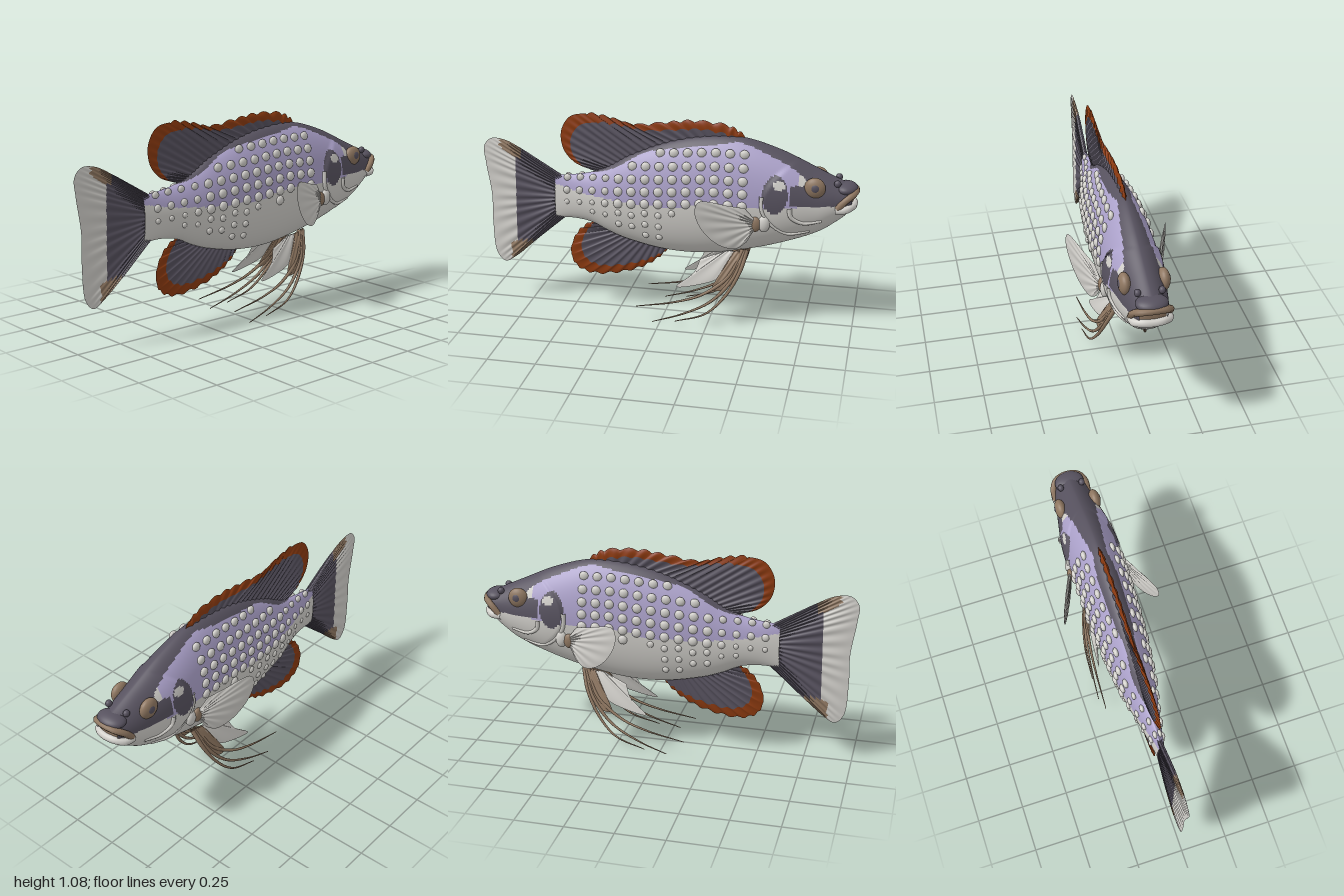
import * as THREE from 'three';
import { mergeGeometries } from 'three/addons/utils/BufferGeometryUtils.js';

const mat = (name, color) => new THREE.MeshStandardMaterial({ name, color, side: THREE.DoubleSide });
const V = (x, y, z = 0) => new THREE.Vector3(x, y, z);
const curve = (pts) => new THREE.CatmullRomCurve3(pts.map((p) => V(...p)), false, 'centripetal');
const DARK = 0, LILAC = 1, WHITE = 2, RUST = 3, BROWN = 4;

// smooth interpolation through rows of [x, value, ...]
function interp(rows, x, k) {
  let i = 0;
  while (i < rows.length - 2 && x > rows[i + 1][0]) i++;
  const slope = (n) => {
    const a = rows[Math.max(0, n - 1)], b = rows[Math.min(rows.length - 1, n + 1)];
    return (b[k] - a[k]) / (b[0] - a[0]);
  };
  const a = rows[i], b = rows[i + 1], h = b[0] - a[0];
  const t = THREE.MathUtils.clamp((x - a[0]) / h, 0, 1), t2 = t * t, t3 = t2 * t;
  return (2 * t3 - 3 * t2 + 1) * a[k] + (t3 - 2 * t2 + t) * h * slope(i) +
    (3 * t2 - 2 * t3) * b[k] + (t3 - t2) * h * slope(i + 1);
}

// body stations: x, top, bottom, half width
const BODY = [
  [-0.6, 0.735, 0.495, 0.02], [-0.5, 0.745, 0.5, 0.04], [-0.4, 0.765, 0.485, 0.06],
  [-0.3, 0.81, 0.44, 0.08], [-0.2, 0.87, 0.405, 0.096], [0, 0.955, 0.365, 0.118],
  [0.2, 1.0, 0.362, 0.13], [0.4, 1.005, 0.395, 0.135], [0.6, 0.95, 0.45, 0.132],
  [0.8, 0.86, 0.53, 0.112], [0.9, 0.815, 0.6, 0.09], [0.95, 0.795, 0.645, 0.074], [0.965, 0.785, 0.66, 0.066],
];
const BACK = [[-0.6, 0.76], [-0.4, 0.765], [-0.28, 0.8], [-0.1, 0.9], [0.1, 0.945], [0.3, 0.975],
  [0.4, 0.985], [0.6, 0.91], [0.7, 0.855], [0.75, 0.8], [0.78, 0.71], [0.88, 0.71], [0.97, 0.745]];
const BELLY = [[-0.6, 0.69], [-0.4, 0.655], [0, 0.64], [0.3, 0.675], [0.5, 0.68], [0.7, 0.69]];

function section(x) {
  const [top, bottom, w] = [1, 2, 3].map((k) => interp(BODY, x, k));
  return { top, bottom, w, mid: bottom + (top - bottom) * 0.48 };
}
// raised gill cover with a curved rear edge
function gill(x, y) {
  const edge = 0.51 + 0.16 * ((y - 0.71) / 0.2) ** 2;
  return 1 + 0.1 * THREE.MathUtils.smoothstep(x, edge, edge + 0.02) * (1 - THREE.MathUtils.smoothstep(x, 0.6, 0.82));
}
function halfWidth(x, y) {
  const s = section(x);
  const f = y > s.mid ? (y - s.mid) / (s.top - s.mid) : (s.mid - y) / (s.mid - s.bottom);
  return s.w * Math.max(0, 1 - f * f) ** (y > s.mid ? 0.6 : 0.5) * gill(x, y);
}
const inside = (x, y, cx, cy, rx, ry) => ((x - cx) / rx) ** 2 + ((y - cy) / ry) ** 2 < 1;
function skin(x, y) {
  if (y > interp(BACK, x, 1)) return DARK;
  if (inside(x, y, 0.605, 0.8, 0.032, 0.022)) return WHITE;
  if (inside(x, y, 0.585, 0.75, 0.065, 0.095)) return DARK;
  if (x > 0.66 && y > 0.7 && y < 0.8) return DARK;
  return x < 0.7 && y > interp(BELLY, x, 1) ? LILAC : WHITE;
}

export function createModel() {
  const model = new THREE.Group();
  model.name = 'fish';
  const mats = [mat('slate', 0x57525f), mat('lilac', 0xaca2cb), mat('pearl white', 0xd2d0cb),
    mat('rust', 0x8c3a10), mat('tan', 0x8f7761)];
  const add = (name, geo, m, parent = model) => {
    const mesh = new THREE.Mesh(geo, m);
    mesh.name = name;
    parent.add(mesh);
    return mesh;
  };

  // grid surface with a colour chosen for every cell
  function grid(name, nu, nv, wrap, point, colour, parent) {
    const pos = [], cells = mats.map(() => []), cols = wrap ? nv : nv + 1;
    for (let i = 0; i <= nu; i++) for (let j = 0; j < cols; j++) pos.push(...point(i / nu, j / nv));
    for (let i = 0; i < nu; i++) for (let j = 0; j < nv; j++) {
      const a = i * cols + j, d = i * cols + ((j + 1) % cols), b = a + cols, c = d + cols;
      const x = (pos[a * 3] + pos[c * 3]) / 2, y = (pos[a * 3 + 1] + pos[c * 3 + 1]) / 2;
      cells[colour(x, y, (i + 0.5) / nu, (j + 0.5) / nv)].push(a, d, c, a, c, b);
    }
    const geo = new THREE.BufferGeometry();
    geo.setAttribute('position', new THREE.Float32BufferAttribute(pos, 3));
    geo.setIndex(cells.flat());
    let start = 0;
    cells.forEach((c, k) => { if (c.length) geo.addGroup(start, c.length, k); start += c.length; });
    geo.computeVertexNormals();
    return add(name, geo, mats, parent);
  }

  // two-sided fin between a base curve and an edge curve; the rim colour starts at v = 0.6 of the grid
  function fin(name, base, edge, o, parent = model) {
    const B = curve(base), E = curve(edge), g = new THREE.Group();
    g.name = name;
    parent.add(g);
    for (const side of [1, -1]) grid(name + 'Side', o.nu ?? 120, 15, false, (u, q) => {
      const b = B.getPoint(u), e = E.getPoint(u);
      if (o.scallop) e.y += o.scallop(u);
      const rim = o.rim ? THREE.MathUtils.clamp(o.rim(u, b.distanceTo(e), b, e), 0.02, 0.999) : 0.6;
      const v = q < 0.6 ? (q / 0.6) * rim : rim + ((q - 0.6) / 0.4) * (1 - rim);
      const p = b.lerp(e, v), ray = 0.75 + 0.25 * Math.cos(u * Math.PI * 2 * (o.rays ?? 16));
      const t = o.thick * ray * (1 - v ** 6) * Math.min(1, 6 * Math.sin(Math.PI * u));
      return [p.x, p.y, (o.z ? o.z(p.x, p.y) : 0) + side * t];
    }, o.colour, g);
    return g;
  }

  // body and end caps
  grid('body', 200, 128, true, (u, v) => {
    const x = -0.6 + 1.565 * u, s = section(x), a = v * Math.PI * 2, c = Math.cos(a), n = Math.sin(a);
    const y = s.mid + c * (c > 0 ? s.top - s.mid : s.mid - s.bottom);
    return [x, y, Math.sign(n) * s.w * Math.abs(n) ** (c > 0 ? 1.2 : 1) * gill(x, y)];
  }, skin);
  const mouth = add('mouthInterior', new THREE.SphereGeometry(1, 24, 16), mats[BROWN]);
  mouth.position.set(0.95, 0.72, 0);
  mouth.scale.set(0.02, 0.06, 0.066);
  const snout = add('snout', new THREE.SphereGeometry(1, 32, 20), mats[DARK]);
  snout.position.set(0.93, 0.772, 0);
  snout.scale.set(0.06, 0.033, 0.078);

  // tapered tube
  function strand(name, pts, r0, r1, m, parent) {
    const path = curve(pts), n = 32, geo = new THREE.TubeGeometry(path, n, 1, 8), p = geo.attributes.position;
    for (let i = 0; i < p.count; i++) {
      const t = Math.floor(i / 9) / n, c = path.getPointAt(t), r = r0 + (r1 - r0) * t;
      p.setXYZ(i, c.x + (p.getX(i) - c.x) * r, c.y + (p.getY(i) - c.y) * r, c.z + (p.getZ(i) - c.z) * r);
    }
    return add(name, geo, m, parent);
  }
  strand('upperLip', [[0.895, 0.685, 0.09], [0.935, 0.73, 0.088], [0.97, 0.755, 0.06], [0.983, 0.763, 0],
    [0.97, 0.755, -0.06], [0.935, 0.73, -0.088], [0.895, 0.685, -0.09]], 0.017, 0.017, mats[BROWN]);
  strand('lowerLip', [[0.885, 0.675, 0.088], [0.935, 0.68, 0.084], [0.965, 0.69, 0.05], [0.973, 0.69, 0],
    [0.965, 0.69, -0.05], [0.935, 0.68, -0.084], [0.885, 0.675, -0.088]], 0.02, 0.02, mats[WHITE]);

  // tail fin
  fin('tailFin', [[-0.55, 0.73], [-0.57, 0.67], [-0.575, 0.56], [-0.55, 0.5]],
    [[-0.76, 0.855], [-0.87, 0.91], [-0.95, 0.915], [-0.99, 0.87], [-0.985, 0.78], [-0.96, 0.6], [-0.962, 0.45],
      [-0.945, 0.26], [-0.9, 0.215], [-0.83, 0.255], [-0.73, 0.345]], {
      thick: 0.012, rays: 22, nu: 200,
      rim: (u, len, b, e) => (b.x + 0.81 + 0.02 * u) / (b.x - e.x),
      colour: (x, y, u, v) => {
        if (y > 0.82 && x > -0.9 && x < -0.79 && y > 0.8 - (x + 0.79) * 0.65) return BROWN;
        if (y < 0.35 && x > -0.86 && x < -0.7 && y < 0.35 + (x + 0.8) * 0.3) return BROWN;
        return v < 0.6 ? DARK : WHITE;
      },
    });

  // dorsal and anal fins with rust rims
  const rimmed = (x, y, u, v) => (v < 0.6 ? DARK : RUST);
  fin('dorsalFin', [[0.42, 0.985], [0.2, 0.985], [0, 0.94], [-0.18, 0.87], [-0.3, 0.8], [-0.36, 0.765]],
    [[0.41, 1.01], [0.33, 1.055], [0.15, 1.072], [0, 1.055], [-0.18, 1.035], [-0.3, 1.065], [-0.42, 1.08],
      [-0.51, 1.06], [-0.56, 0.98], [-0.55, 0.88], [-0.49, 0.81], [-0.4, 0.775]], {
      thick: 0.013, rays: 24, nu: 240,
      scallop: (u) => (u < 0.55 ? 0.016 * (Math.abs(Math.sin(u * Math.PI * 22)) - 0.4) : 0),
      rim: (u, len) => 1 - (0.042 + 0.035 * Math.sin(Math.PI * u) ** 2) * Math.min(1, (1 - u) * 9) / len,
      colour: rimmed,
    });
  fin('analFin', [[0.02, 0.38], [-0.12, 0.4], [-0.25, 0.435], [-0.36, 0.495]],
    [[0, 0.345], [-0.07, 0.285], [-0.16, 0.235], [-0.29, 0.198], [-0.42, 0.19], [-0.5, 0.23], [-0.525, 0.31],
      [-0.49, 0.41], [-0.43, 0.47], [-0.37, 0.492]], {
      thick: 0.011, rays: 16, nu: 160,
      scallop: (u) => 0.006 * Math.sin(u * Math.PI * 30),
      rim: (u, len) => 1 - (0.015 + 0.06 * Math.sin(Math.PI * u)) * Math.min(1, (1 - u) * 7) / len,
      colour: rimmed,
    });

  // paired parts, built for +z and mirrored
  const pelvicZ = (x, y) => 0.05 + 0.115 * Math.max(0, (0.41 - y) / 0.41) ** 0.75;
  for (const side of [1, -1]) {
    const half = new THREE.Group();
    half.name = side > 0 ? 'rightSideParts' : 'leftSideParts';
    half.scale.z = side;
    model.add(half);
    const ball = (name, m, x, y, z, sx, sy, sz) => {
      const b = add(name, new THREE.SphereGeometry(1, 24, 16), mats[m], half);
      b.position.set(x, y, z);
      b.scale.set(sx, sy, sz);
    };
    ball('eye', BROWN, 0.78, 0.79, 0.094, 0.054, 0.054, 0.03);
    ball('pupil', DARK, 0.782, 0.793, 0.108, 0.03, 0.03, 0.018);
    ball('nostril', DARK, 0.89, 0.808, 0.058, 0.018, 0.018, 0.016);
    ball('finShoulder', WHITE, 0.535, 0.595, 0.132, 0.03, 0.045, 0.022);
    ball('finRoot', BROWN, 0.49, 0.59, 0.138, 0.03, 0.04, 0.017);

    // gill folds
    const fold = (pts) => strand('gillFold', pts.map(([x, y]) => [x, y, halfWidth(x, y)]), 0.013, 0.007, mats[WHITE], half);
    fold([[0.52, 0.74], [0.525, 0.66], [0.57, 0.59], [0.65, 0.54], [0.76, 0.55]]);
    fold([[0.66, 0.69], [0.67, 0.64], [0.73, 0.605], [0.82, 0.615]]);

    // pectoral fin
    fin('pectoralFin', [[0.49, 0.615], [0.495, 0.59], [0.49, 0.565]],
      [[0.44, 0.68], [0.36, 0.7], [0.22, 0.73], [0.2, 0.68], [0.235, 0.58], [0.32, 0.49], [0.4, 0.465], [0.45, 0.495]],
      { thick: 0.008, rays: 9, nu: 90, z: (x) => 0.137 + 0.41 * (0.5 - x), colour: () => WHITE }, half);

    // pelvic fin
    fin('pelvicFin', [[0.45, 0.42], [0.42, 0.41], [0.37, 0.4]], [[0.4, 0.29], [0.32, 0.2], [0.27, 0.2], [0.31, 0.29]],
      { thick: 0.007, rays: 4, nu: 40, z: pelvicZ, colour: () => BROWN }, half);
    fin('pelvicMembrane', [[0.38, 0.4], [0.34, 0.4], [0.3, 0.39]],
      [[0.33, 0.275], [0.25, 0.235], [0.08, 0.2], [0.17, 0.28], [0.2, 0.35]],
      { thick: 0.005, rays: 4, nu: 40, z: pelvicZ, colour: () => WHITE }, half);
    for (const path of [
      [[0.42, 0.41], [0.35, 0.27], [0.22, 0.17], [0.08, 0.12], [-0.13, 0.08]],
      [[0.43, 0.41], [0.38, 0.27], [0.27, 0.14], [0.12, 0.06], [-0.04, 0.006]],
      [[0.44, 0.41], [0.41, 0.3], [0.34, 0.17], [0.24, 0.07], [0.08, 0.018]],
    ]) strand('pelvicRay', path.map(([x, y]) => [x, y, pelvicZ(x, y)]), 0.013, 0.002, mats[BROWN], half);

    // pearl scales
    const pearls = [];
    for (let col = 0; col < 14; col++) for (let row = 0; row < 8; row++) {
      const x = 0.42 - col * 0.073, s = section(x);
      const y = 0.935 - row * 0.064 - Math.max(0, 0.25 - x) * 0.1 + (row > 4 ? 0.012 * (col % 2) : 0);
      if (y > interp(BACK, x, 1) - 0.015 || y < s.bottom + 0.06 || (x > 0.05 && y < 0.58 + 0.2 * x)) continue;
      const r = (y < 0.62 ? 0.018 : 0.025) * (x < -0.25 ? 0.8 : 1);
      pearls.push(new THREE.SphereGeometry(r, 12, 8).scale(1, 1, 0.6).translate(x, y, halfWidth(x, y)));
    }
    add('pearlScales', mergeGeometries(pearls), mats[WHITE], half);
  }
  return model;
}
